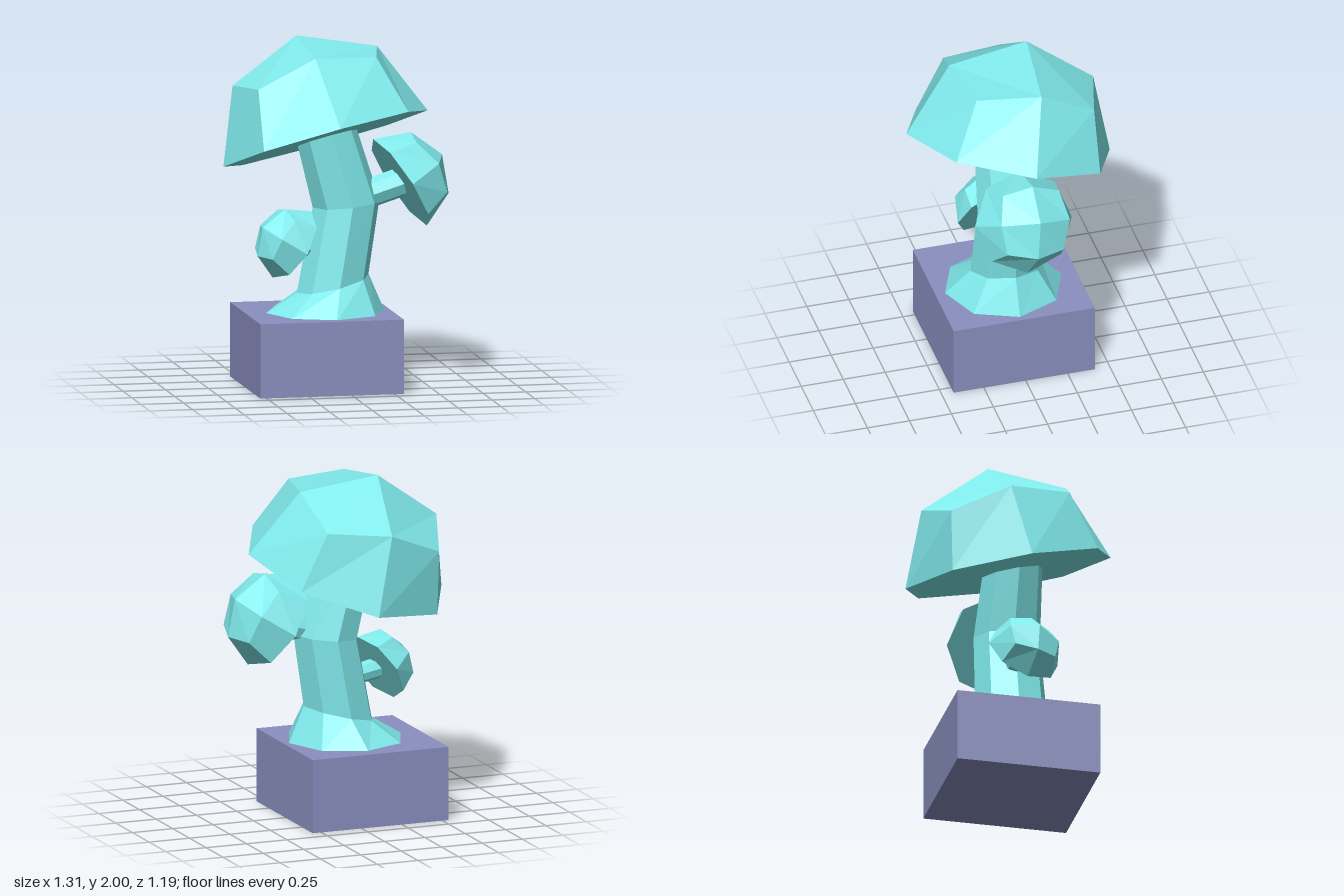
import * as THREE from 'three';

const V = (x, y, z) => new THREE.Vector3(x, y, z);

// Half of a rounded, subdivided cube, closed by a flat underside
function capGeometry() {
  const geo = new THREE.BoxGeometry(2, 2, 2, 2, 2, 2);
  const pos = geo.attributes.position;
  const p = V(0, 0, 0);
  for (let i = 0; i < pos.count; i++) {
    p.fromBufferAttribute(pos, i);
    p.y = Math.max(p.y, 0);
    p.normalize();
    pos.setXYZ(i, p.x, p.y, p.z);
  }
  geo.computeVertexNormals();
  return geo;
}

// Eight-sided tube through rings of { x, y, z, r, tilt }, listed from the top down
function ringTube(rings) {
  const geo = new THREE.CylinderGeometry(1, 1, 1, 8, rings.length - 1, true);
  const pos = geo.attributes.position;
  for (let i = 0; i < pos.count; i++) {
    const k = Math.round((0.5 - pos.getY(i)) * (rings.length - 1));
    const { x, y, z, r, tilt } = rings[k];
    const dx = pos.getX(i) * r;
    pos.setXYZ(i, x + dx, y + dx * tilt, z + pos.getZ(i) * r);
  }
  geo.computeVertexNormals();
  return geo;
}

export function createModel() {
  const model = new THREE.Group();
  const fungus = new THREE.MeshStandardMaterial({ color: 0x80eaec, flatShading: true });
  const block = new THREE.MeshStandardMaterial({ color: 0x8a8fbf, flatShading: true });

  const add = (name, geo, mat) => {
    const mesh = new THREE.Mesh(geo, mat);
    mesh.name = name;
    model.add(mesh);
    return mesh;
  };

  // Cap with its rim centre, radius, growth direction (up) and side direction
  const addCap = (name, centre, radius, up, side) => {
    const y = up.clone().normalize();
    const z = side.clone().cross(y).normalize();
    const x = y.clone().cross(z);
    const mesh = add(name, capGeometry(), fungus);
    mesh.quaternion.setFromRotationMatrix(new THREE.Matrix4().makeBasis(x, y, z));
    mesh.scale.setScalar(radius);
    mesh.position.copy(centre);
  };

  // Short stalk from the trunk to a side cap
  const addStalk = (name, from, to, radius) => {
    const dir = to.clone().sub(from);
    const mesh = add(name, new THREE.CylinderGeometry(radius, radius, dir.length(), 8), fungus);
    mesh.quaternion.setFromUnitVectors(V(0, 1, 0), dir.clone().normalize());
    mesh.position.copy(from).add(to).multiplyScalar(0.5);
  };

  // Base block
  add('baseBlock', new THREE.BoxGeometry(0.84, 0.43, 0.84), block).position.set(-0.117, 0.215, 0.01);

  // Bent trunk with a flared foot
  add('trunk', ringTube([
    { x: -0.08, y: 1.5, z: 0.03, r: 0.17, tilt: 0.25 },
    { x: 0.05, y: 1.05, z: 0.02, r: 0.195, tilt: 0.1 },
    { x: -0.03, y: 0.59, z: 0.025, r: 0.21, tilt: 0.24 },
    { x: -0.08, y: 0.42, z: 0.025, r: 0.355, tilt: 0 },
  ]), fungus);

  // Large tilted cap
  addCap('mainCap', V(-0.066, 1.425, 0), 0.614, V(-0.228, 0.943, -0.246), V(0.596, 0.145, 0));

  // Side mushroom on the left
  addStalk('leftStalk', V(0.1, 1.08, 0.03), V(0.37, 1.165, 0.03), 0.085);
  addCap('leftCap', V(0.3625, 1.1625, 0.032), 0.295, V(0.2475, 0.1475, -0.03), V(0.295, -0.505, 0.04));

  // Smaller side mushroom on the right
  addStalk('rightStalk', V(-0.04, 0.785, 0), V(-0.28, 0.82, 0.04), 0.06);
  addCap('rightCap', V(-0.27, 0.825, 0.04), 0.22, V(-0.83, 0.5, 0.25), V(0.52, 0.855, 0));

  return model;
}
